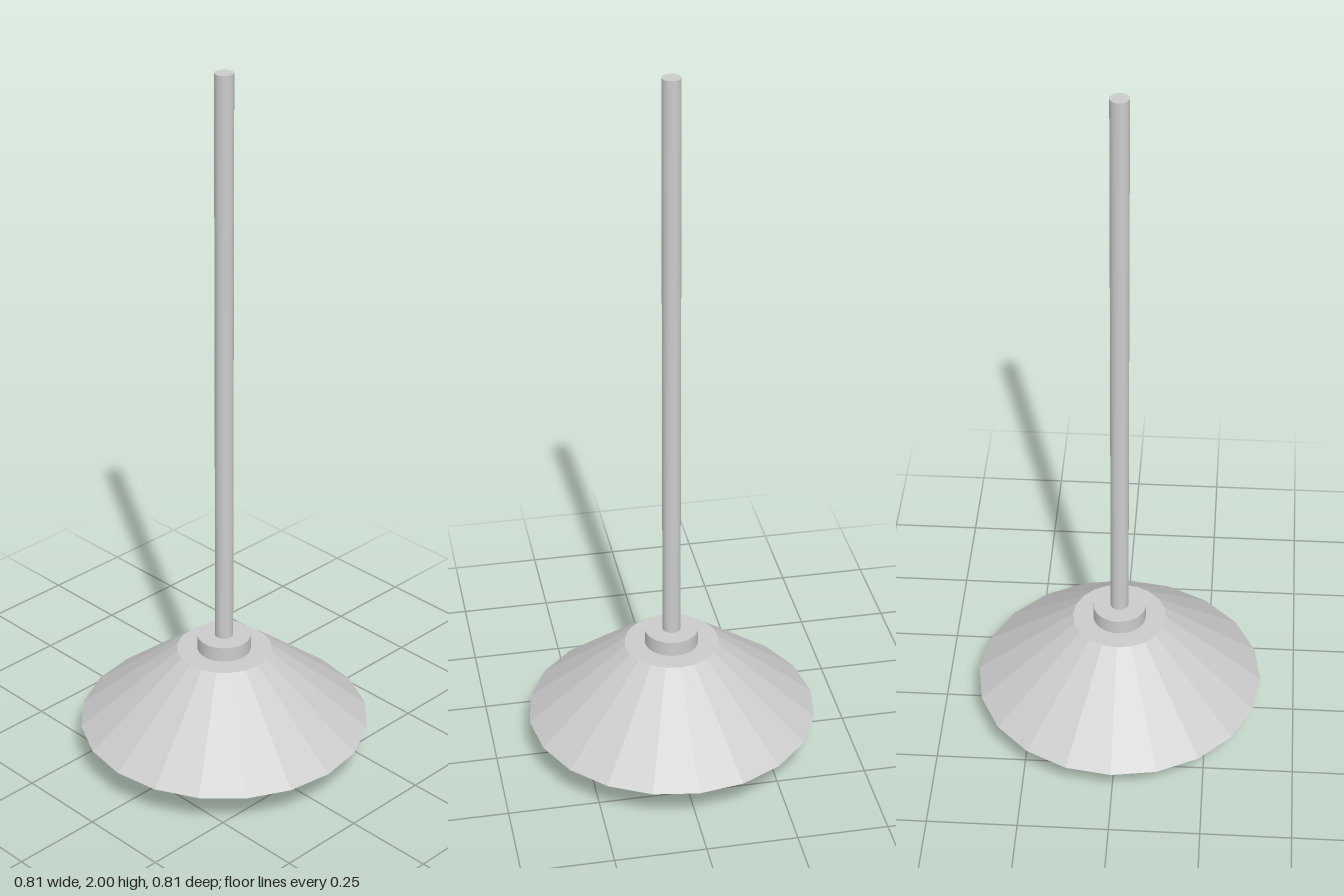
import * as THREE from 'three';

export function createModel() {
  const group = new THREE.Group();
  const smooth = new THREE.MeshStandardMaterial({ color: 0xcccccc });
  const faceted = new THREE.MeshStandardMaterial({ color: 0xcccccc, flatShading: true });

  const add = (name, geometry, material, y = 0) => {
    const mesh = new THREE.Mesh(geometry, material);
    mesh.name = name;
    mesh.position.y = y;
    group.add(mesh);
  };
  // upright cylinder between two heights
  const post = (name, radius, y0, y1) =>
    add(name, new THREE.CylinderGeometry(radius, radius, y1 - y0, 32), smooth, (y0 + y1) / 2);

  // hanging rod, collar on top of the shade, socket beneath it
  post('rod', 0.025, 0.37, 2);
  post('collar', 0.074, 0.33, 0.378);
  post('socket', 0.073, 0.18, 0.26);

  // twenty-sided shade: recessed ceiling, inner slope, sharp rim, outer slope, flat top
  const profile = [[0, 0.255], [0.18, 0.255], [0.403, 0.112], [0.131, 0.335], [0, 0.335]]
    .map(([r, y]) => new THREE.Vector2(r, y));
  const shade = new THREE.LatheGeometry(profile, 20).toNonIndexed();
  shade.computeVertexNormals();
  add('shade', shade, faceted);

  // round bulb
  add('bulb', new THREE.SphereGeometry(0.115, 40, 28), smooth, 0.115);

  return group;
}
